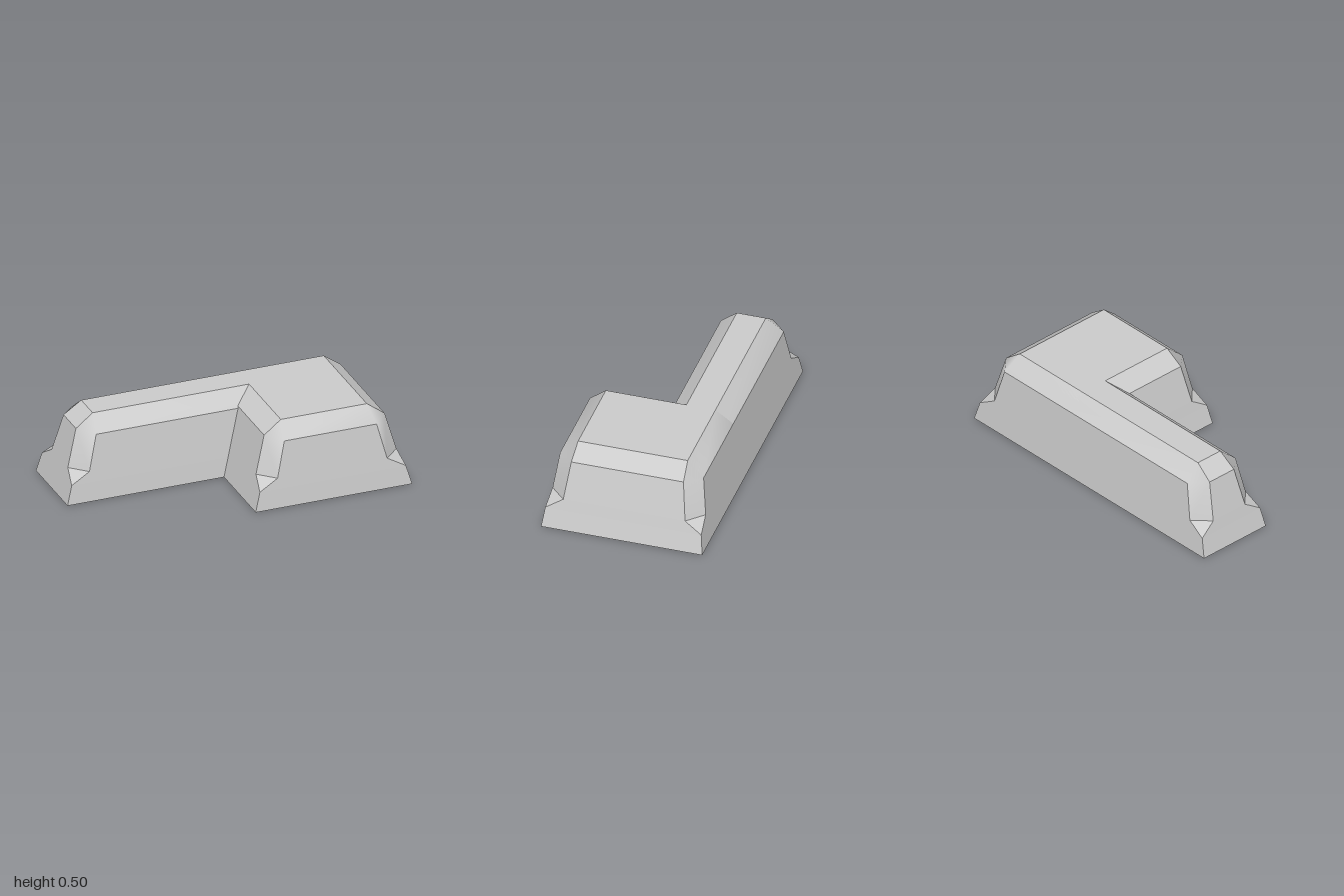
import * as THREE from 'three';
import { mergeVertices } from 'three/addons/utils/BufferGeometryUtils.js';

// Insets of one corner's points from the base corner: [x inset, height, z inset]
const CORNER = {
  base: [0, 0, 0],
  foot: [0.033, 0.12, 0.016],
  zLow: [0.15, 0.187, 0.025],
  zHigh: [0.205, 0.41, 0.055],
  xLow: [0.051, 0.187, 0.122],
  xHigh: [0.115, 0.42, 0.152],
  top: [0.225, 0.5, 0.16],
};

const material = new THREE.MeshStandardMaterial({ color: 0xcccccc, side: THREE.DoubleSide });

function makeMesh(name, triangles, smooth) {
  let geometry = new THREE.BufferGeometry();
  geometry.setAttribute('position', new THREE.Float32BufferAttribute(triangles.flat(), 3));
  if (smooth) geometry = mergeVertices(geometry);
  geometry.computeVertexNormals();
  const mesh = new THREE.Mesh(geometry, material);
  mesh.name = name;
  return mesh;
}

// A hollow mound with sloped walls, bevelled rim and cut-back corners, open below
function mound(name, width, depth) {
  const at = (sx, sz, key) => {
    const [ix, y, iz] = CORNER[key];
    return [sx * (width / 2 - ix), y, sz * (depth / 2 - iz)];
  };
  const walls = [], ends = [], bevel = [], top = [];
  const quad = (list, a, b, c, d) => list.push(a, b, c, a, c, d);

  // Horizontal strips between the left and right corners of one side
  const strips = (list, left, right, keys) => {
    for (let i = 0; i + 1 < keys.length; i++) {
      quad(list, at(...left, keys[i]), at(...right, keys[i]),
        at(...right, keys[i + 1]), at(...left, keys[i + 1]));
    }
  };

  for (const s of [1, -1]) {
    // Long walls and end walls
    strips(walls, [-s, s], [s, s], ['base', 'foot', 'zLow', 'zHigh']);
    strips(walls, [s, s], [s, -s], ['base', 'foot', 'xLow', 'xHigh']);
    // Rim slopes
    strips(bevel, [-s, s], [s, s], ['zHigh', 'top']);
    strips(ends, [s, s], [s, -s], ['xHigh', 'top']);

    // Corner bevels and the small ledges at their feet
    for (const t of [1, -1]) {
      const p = (key) => at(s, t, key);
      const tri = (list, a, b, c) =>
        s * t > 0 ? list.push(p(a), p(b), p(c)) : list.push(p(a), p(c), p(b));
      tri(walls, 'foot', 'xLow', 'zLow');
      tri(bevel, 'zLow', 'xLow', 'xHigh');
      tri(bevel, 'zLow', 'xHigh', 'zHigh');
      tri(bevel, 'zHigh', 'xHigh', 'top');
    }
  }
  quad(top, at(-1, 1, 'top'), at(1, 1, 'top'), at(1, -1, 'top'), at(-1, -1, 'top'));

  const group = new THREE.Group();
  group.name = name;
  group.add(
    makeMesh('walls', walls, false),
    makeMesh('endSlopes', ends, false),
    makeMesh('cornerBevels', bevel, true),
    makeMesh('topSurface', top, false),
  );
  return group;
}

export function createModel() {
  const model = new THREE.Group();
  model.name = 'cornerMound';

  // Long arm along the back
  const longArm = mound('longArm', 2, 0.5);
  longArm.position.z = -0.25;

  // Short arm reaching forward, overlapping the long one
  const shortArm = mound('shortArm', 1, 1);
  shortArm.position.x = 0.5;

  model.add(longArm, shortArm);
  return model;
}
